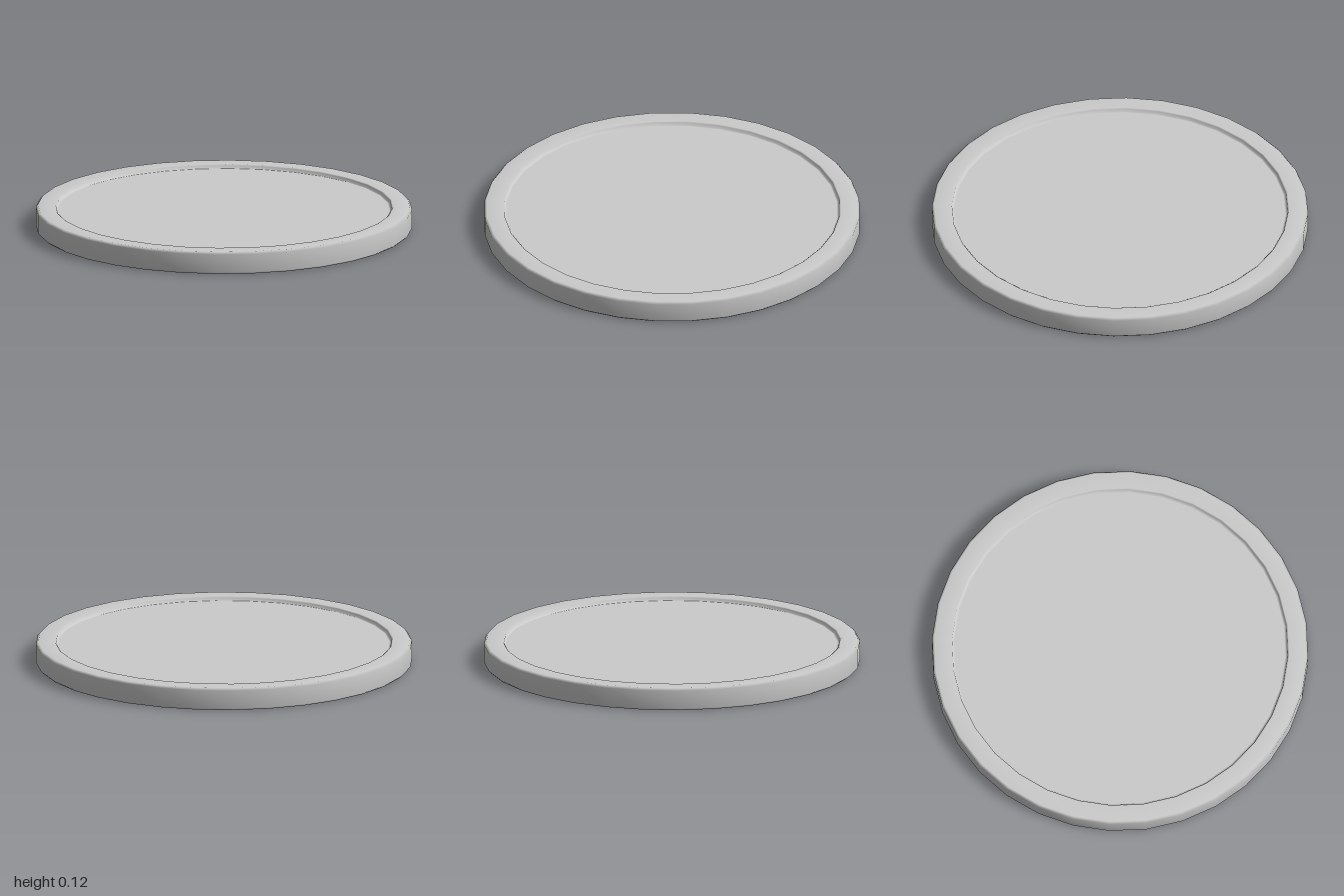
import * as THREE from 'three';

const SIDES = 32;
const HEIGHT = 0.12;
const FLOOR = 0.1;

// Cross-section from the centre of the base, round the rim, to the centre of the recess
const PROFILE = [
  // flat base with a small bevel
  [0, 0], [0.97, 0], [0.99, 0],
  [1, 0.01],
  // outer wall and top bevel
  [1, HEIGHT - 0.012], [0.988, HEIGHT],
  // raised rim, stepping down into the recess
  [0.9, HEIGHT], [0.893, HEIGHT - 0.005], [0.89, FLOOR],
  // recessed floor
  [0.88, FLOOR], [0, FLOOR],
];

export function createModel() {
  const group = new THREE.Group();
  group.name = 'roundTray';

  const points = PROFILE.map(([r, y]) => new THREE.Vector2(r, y));
  const disc = new THREE.Mesh(
    new THREE.LatheGeometry(points, SIDES),
    new THREE.MeshStandardMaterial({ color: 0xcccccc })
  );
  disc.name = 'rimmedDisc';
  group.add(disc);

  return group;
}
